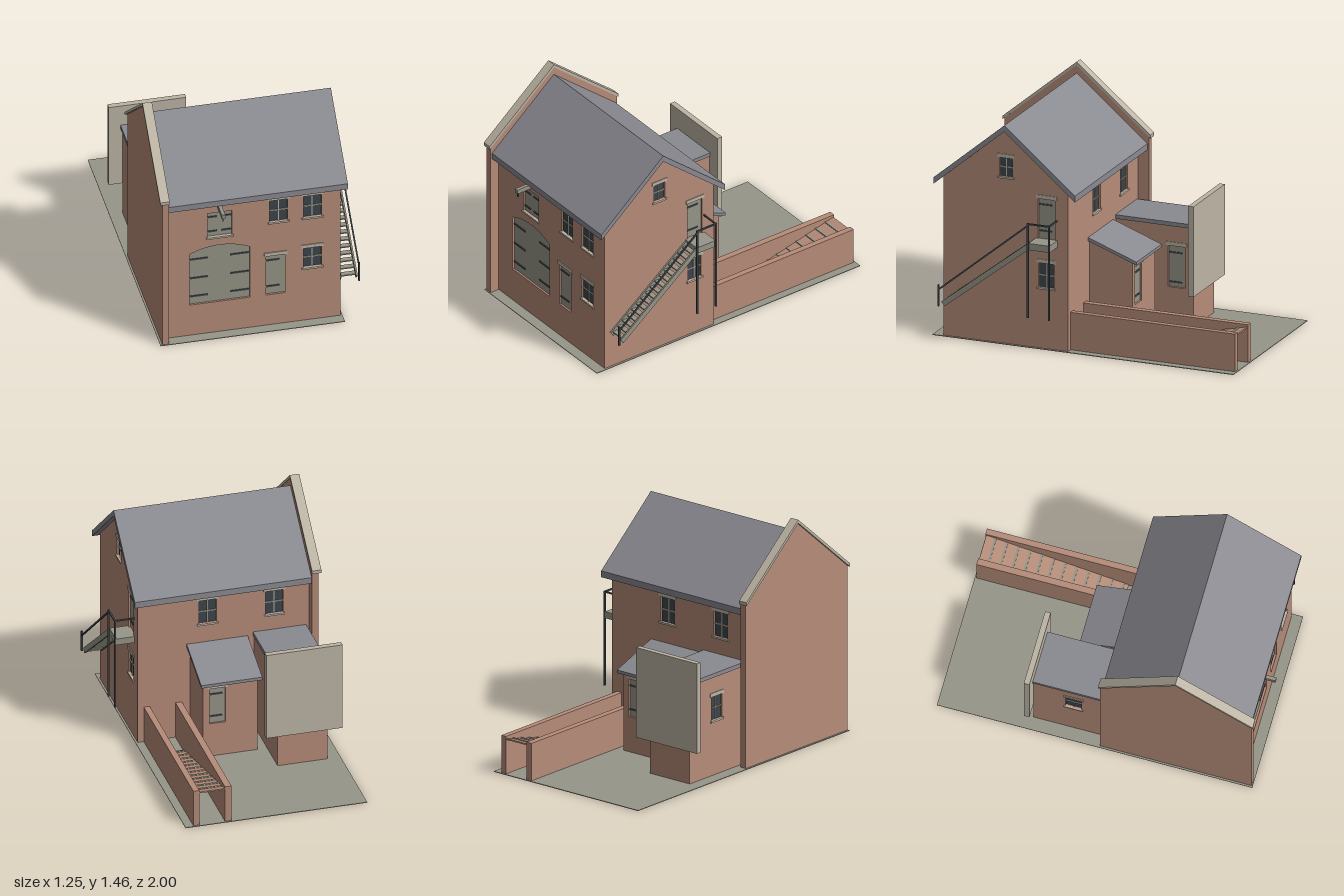
import * as THREE from 'three';

const mat = (name, color) => Object.assign(new THREE.MeshStandardMaterial({ color }), { name });
const M = {
  brick: mat('brick', 0xb68c79),
  slate: mat('slate', 0x8a8a91),
  stone: mat('pale stone', 0xbdb5a5),
  paint: mat('grey green paint', 0x979588),
  iron: mat('dark iron', 0x484e54),
  glass: mat('dark glass', 0x3d464c),
};

// Box given by its min and max on each axis
function box(parent, name, m, x0, x1, y0, y1, z0, z1) {
  const b = new THREE.Mesh(new THREE.BoxGeometry(x1 - x0, y1 - y0, z1 - z0), m);
  b.position.set((x0 + x1) / 2, (y0 + y1) / 2, (z0 + z1) / 2);
  b.name = name;
  parent.add(b);
  return b;
}

// Straight beam between two points
function beam(parent, name, m, a, b, w, h) {
  const p = new THREE.Vector3(...a), q = new THREE.Vector3(...b);
  const mesh = new THREE.Mesh(new THREE.BoxGeometry(w, h, p.distanceTo(q)), m);
  mesh.position.copy(p).lerp(q, 0.5);
  mesh.lookAt(q);
  mesh.name = name;
  parent.add(mesh);
}

const toShape = pts => new THREE.Shape(pts.map(p => new THREE.Vector2(...p)));

// Outline in (-z, y) extruded along x from x0 to x1
function profileX(parent, name, m, pts, x0, x1) {
  const mesh = new THREE.Mesh(
    new THREE.ExtrudeGeometry(toShape(pts), { depth: x1 - x0, bevelEnabled: false }), m);
  mesh.rotation.y = Math.PI / 2;
  mesh.position.x = x0;
  mesh.name = name;
  parent.add(mesh);
}

// Opening outline, counterclockwise, with an optional segmental arch
function openingPoints({ u0, u1, y0, y1, rise = 0 }) {
  const pts = [[u0, y0], [u1, y0], [u1, y1]];
  if (rise) {
    for (let i = 1; i < 16; i++) {
      const t = i / 16;
      pts.push([u1 + (u0 - u1) * t, y1 + rise * 4 * t * (1 - t)]);
    }
  }
  pts.push([u0, y1]);
  return pts;
}

const RECESS = -0.012;

// Joinery, lintel, sill and ironwork of one opening in wall coordinates
function fitOpening(parent, o) {
  const g = new THREE.Group();
  g.name = o.kind;
  parent.add(g);
  const { u0, u1, y0, y1 } = o, c = (u0 + u1) / 2, isWindow = o.kind === 'window';
  const leaf = new THREE.Mesh(
    new THREE.ExtrudeGeometry(toShape(openingPoints(o)), { depth: 0.008, bevelEnabled: false }),
    isWindow ? M.glass : M.paint);
  leaf.position.z = RECESS - 0.008;
  leaf.name = isWindow ? 'pane' : 'doorLeaf';
  g.add(leaf);
  if (isWindow) {
    const m = (y0 + y1) / 2;
    box(g, 'verticalBar', M.stone, c - 0.003, c + 0.003, y0, y1, RECESS, RECESS + 0.006);
    box(g, 'crossBar', M.stone, u0, u1, m - 0.003, m + 0.003, RECESS, RECESS + 0.006);
  }
  if (o.lintel !== false) box(g, 'lintel', M.stone, u0 - 0.012, u1 + 0.012, y1, y1 + 0.024, -0.02, 0.005);
  if (isWindow || o.sill) box(g, 'sill', M.stone, u0 - 0.01, u1 + 0.01, y0 - 0.012, y0, -0.02, 0.008);
  for (const y of o.hinges || []) {
    const len = o.hingeLength;
    box(g, 'hinge', M.iron, u0 + 0.002, u0 + len, y - 0.005, y + 0.005, RECESS, RECESS + 0.005);
    if (o.double) box(g, 'hinge', M.iron, u1 - len, u1 - 0.002, y - 0.005, y + 0.005, RECESS, RECESS + 0.005);
  }
}

// Upright wall panel with cut openings; outer face at local z = 0
function wall(parent, name, [x, z], turn, outline, openings = []) {
  const g = new THREE.Group();
  g.name = name;
  g.position.set(x, 0, z);
  g.rotation.y = turn * Math.PI / 2;
  const s = toShape(outline);
  for (const o of openings) s.holes.push(new THREE.Path(openingPoints(o).map(p => new THREE.Vector2(...p))));
  const mesh = new THREE.Mesh(new THREE.ExtrudeGeometry(s, { depth: 0.03, bevelEnabled: false }), M.brick);
  mesh.position.z = -0.03;
  mesh.name = name + 'Brickwork';
  g.add(mesh);
  openings.forEach(o => fitOpening(g, o));
  parent.add(g);
}

const rect = (a, b, y0, y1) => [[a, y0], [b, y0], [b, y1], [a, y1]];
const win = (u0, u1, y0, y1) => ({ kind: 'window', u0, u1, y0, y1 });
const door = (u0, u1, y0, y1, extra) => ({ kind: 'door', u0, u1, y0, y1, hingeLength: 0.085, ...extra });

function mainHouse() {
  const g = new THREE.Group();
  g.name = 'mainHouse';
  wall(g, 'frontWall', [0, 0.89], 0, rect(-0.57, 0.495, 0, 0.995), [
    door(-0.43, -0.06, 0.225, 0.597, { rise: 0.043, lintel: false, double: true, hingeLength: 0.115, hinges: [0.28, 0.413, 0.55] }),
    door(-0.32, -0.17, 0.705, 0.88, { lintel: false, sill: true, double: true, hingeLength: 0.06, hinges: [0.74, 0.845] }),
    door(0.04, 0.157, 0.225, 0.51, { hinges: [0.28, 0.47] }),
    win(0.062, 0.172, 0.757, 0.915),
    win(0.268, 0.38, 0.757, 0.915),
    win(0.268, 0.38, 0.39, 0.533),
  ]);
  wall(g, 'backWall', [0, 0.08], 2, rect(-0.495, 0.57, 0, 0.995), [
    win(-0.115, -0.005, 0.757, 0.915), win(0.3, 0.41, 0.757, 0.915),
  ]);
  wall(g, 'gableWall', [0.495, 0], 1,
    [[-0.89, 0], [-0.08, 0], [-0.08, 1.005], [-0.485, 1.345], [-0.89, 1.005]], [
      win(-0.525, -0.442, 1.052, 1.17),
      door(-0.275, -0.165, 0.69, 0.943, { hinges: [0.74, 0.905] }),
      win(-0.272, -0.172, 0.387, 0.54),
    ]);
  // Party wall with sloping coping
  profileX(g, 'partyWall', M.brick,
    [[-0.95, 0], [-0.01, 0], [-0.01, 1.043], [-0.48, 1.437], [-0.95, 1.043]], -0.61, -0.57);
  profileX(g, 'coping', M.stone,
    [[-0.96, 1.035], [-0.48, 1.435], [0, 1.035], [0, 1.056], [-0.48, 1.456], [-0.96, 1.056]], -0.625, -0.567);
  profileX(g, 'mainRoof', M.slate,
    [[-0.94, 0.96], [-0.48, 1.345], [-0.02, 0.96], [-0.02, 1.0], [-0.48, 1.385], [-0.94, 1.0]], -0.57, 0.53);
  // Hoist over the loading door
  box(g, 'hoistBeam', M.paint, -0.257, -0.235, 0.908, 0.936, 0.88, 1.0);
  box(g, 'hoistHook', M.iron, -0.249, -0.243, 0.88, 0.908, 0.982, 0.99);
  return g;
}

function outsideStair() {
  const g = new THREE.Group();
  g.name = 'outsideStair';
  box(g, 'landing', M.paint, 0.495, 0.61, 0.65, 0.692, 0.15, 0.29);
  for (const x of [0.505, 0.605]) beam(g, 'stringer', M.paint, [x, 0.675, 0.285], [x, 0.24, 0.845], 0.01, 0.034);
  const n = 16;
  for (let i = 0; i < n; i++) {
    const t = (i + 0.5) / n, y = 0.67 - 0.43 * t, z = 0.29 + 0.55 * t;
    box(g, 'tread', M.paint, 0.505, 0.605, y - 0.004, y + 0.004, z - 0.017, z + 0.017);
  }
  for (const z of [0.153, 0.29]) box(g, 'post', M.iron, 0.61, 0.62, 0.225, 0.82, z - 0.005, z + 0.005);
  box(g, 'footPost', M.iron, 0.61, 0.62, 0.225, 0.36, 0.865, 0.875);
  box(g, 'landingRail', M.iron, 0.61, 0.62, 0.811, 0.82, 0.15, 0.29);
  box(g, 'sideRail', M.iron, 0.495, 0.62, 0.811, 0.82, 0.149, 0.157);
  beam(g, 'handrail', M.iron, [0.615, 0.805, 0.29], [0.615, 0.33, 0.87], 0.008, 0.01);
  return g;
}

function outbuildings() {
  const g = new THREE.Group();
  g.name = 'outbuildings';
  // Flat-roofed store
  wall(g, 'storeDoorWall', [-0.23, 0], 1, rect(-0.08, 0.425, 0, 0.625),
    [door(0.26, 0.37, 0.24, 0.5, { hinges: [0.27, 0.455] })]);
  wall(g, 'storeWindowWall', [-0.54, 0], -1, rect(-0.425, 0.08, 0, 0.625), [win(-0.225, -0.125, 0.35, 0.5)]);
  wall(g, 'storeBackWall', [0, -0.425], 2, rect(0.23, 0.54, 0, 0.625));
  box(g, 'storeRoof', M.slate, -0.553, -0.222, 0.625, 0.65, -0.428, 0.08);
  // Lean-to
  const side = [[-0.08, 0], [0.2, 0], [0.2, 0.505], [-0.08, 0.605]];
  wall(g, 'leanToRightSide', [0.17, 0], 1, side);
  wall(g, 'leanToLeftSide', [-0.17, 0], -1, side.map(([u, y]) => [-u, y]).reverse());
  wall(g, 'leanToBackWall', [0, -0.2], 2, rect(-0.17, 0.17, 0, 0.505),
    [door(-0.13, -0.03, 0.225, 0.465, { hinges: [0.27, 0.42] })]);
  profileX(g, 'leanToRoof', M.slate, [[-0.08, 0.607], [0.235, 0.495], [0.235, 0.515], [-0.08, 0.63]], -0.19, 0.19);
  box(g, 'screenWall', M.stone, -0.625, -0.15, 0.222, 0.79, -0.46, -0.425);
  return g;
}

function yardSteps() {
  const g = new THREE.Group();
  g.name = 'yardSteps';
  box(g, 'innerYardWall', M.brick, 0.22, 0.26, 0, 0.24, -0.99, 0.08);
  box(g, 'outerYardWall', M.brick, 0.42, 0.457, 0, 0.24, -0.99, 0.08);
  beam(g, 'ramp', M.brick, [0.34, 0.01, -0.1], [0.34, 0.222, -0.985], 0.16, 0.008);
  for (let i = 0; i < 12; i++) {
    const z = -0.13 - 0.0725 * i, y = 0.01 + (-0.1 - z) * 0.24;
    box(g, 'step', M.paint, 0.26, 0.42, y - 0.004, y + 0.008, z - 0.007, z + 0.007);
  }
  return g;
}

export function createModel() {
  const model = new THREE.Group();
  model.name = 'warehouse';
  box(model, 'groundSlab', M.paint, -0.622, 0.508, 0, 0.004, -1, 0.957);
  model.add(mainHouse(), outsideStair(), outbuildings(), yardSteps());
  return model;
}
